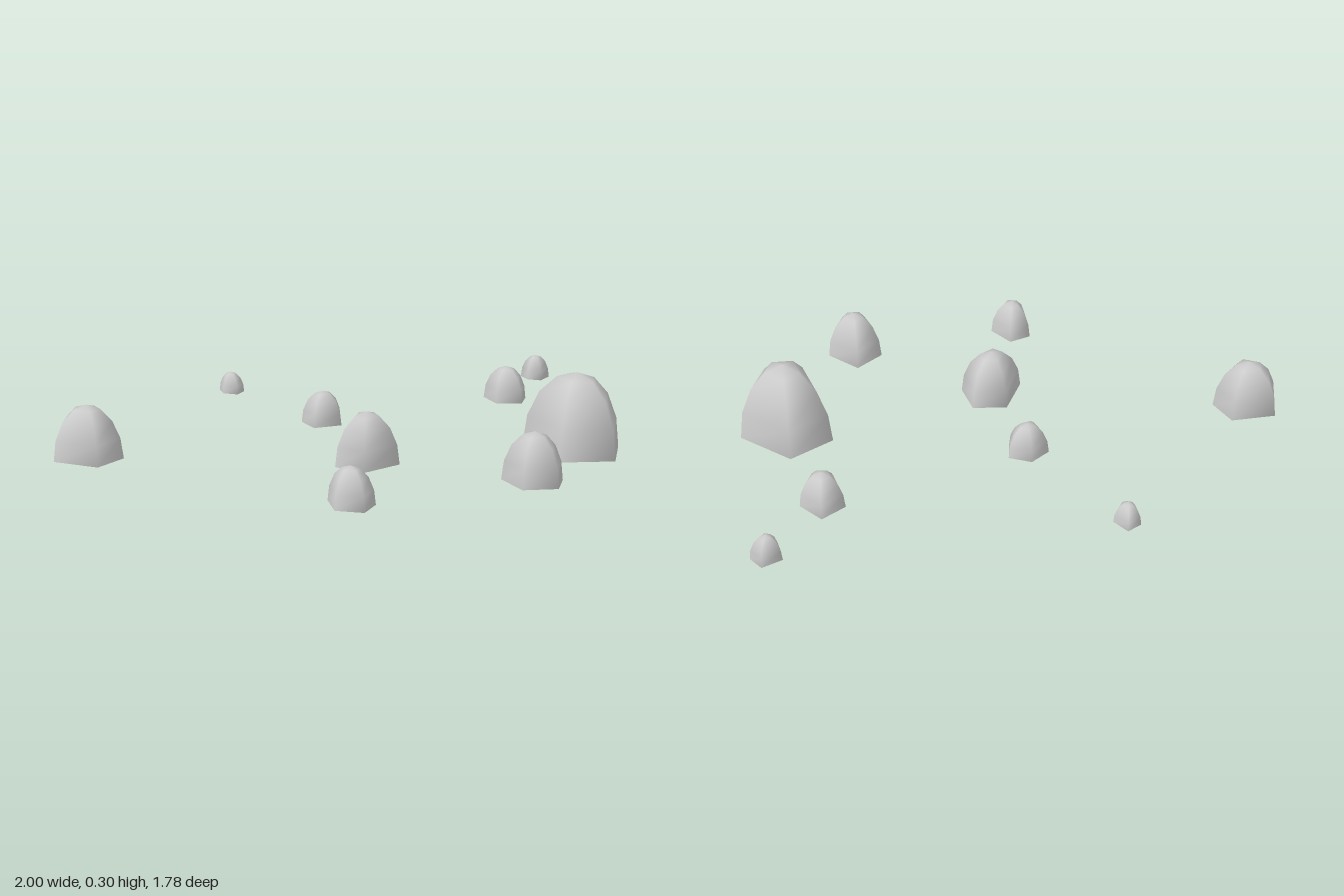
import * as THREE from 'three';

const RINGS = 4;
const SIDES = 5;

// Each mound: base height, top height, and the five ground corners (x, z)
const MOUNDS = [
  { base: 0.006, top: 0.303, corners: [[0.77, -0.2], [1, -0.1], [0.99, 0.1], [0.79, 0.16], [0.645, -0.055]] },
  { base: 0.045, top: 0.243, corners: [[-0.84, 0.34], [-0.755, 0.435], [-0.815, 0.56], [-0.985, 0.53], [-1, 0.4]] },
  { base: 0.06, top: 0.185, corners: [[-0.14, -0.11], [-0.05, -0.1], [-0.035, -0.02], [-0.13, 0.04], [-0.19, -0.035]] },
  { base: 0.04, top: 0.23, corners: [[0.03, 0.255], [0.16, 0.23], [0.23, 0.345], [0.12, 0.47], [0.01, 0.425]] },
  { base: 0.047, top: 0.185, corners: [[0.11, 0.725], [0.205, 0.795], [0.18, 0.885], [0.08, 0.885], [0.04, 0.78]] },
  { base: 0.053, top: 0.235, corners: [[0.67, 0.395], [0.81, 0.465], [0.8, 0.57], [0.68, 0.61], [0.6, 0.505]] },
  { base: 0.05, top: 0.185, corners: [[0.53, -0.59], [0.63, -0.53], [0.62, -0.44], [0.52, -0.42], [0.465, -0.505]] },
  { base: 0.05, top: 0.145, corners: [[0.655, -0.895], [0.71, -0.855], [0.68, -0.785], [0.625, -0.79], [0.595, -0.84]] },
  { base: 0.063, top: 0.145, corners: [[-0.55, -0.455], [-0.49, -0.41], [-0.505, -0.355], [-0.565, -0.36], [-0.59, -0.41]] },
];

// Hollow half-dome: the base outline shrinks along a quarter circle to the pole
function domeGeometry(corners, height) {
  const positions = [0, height, 0];
  const index = [];
  for (let i = 1; i <= RINGS; i++) {
    const a = (i / RINGS) * Math.PI / 2;
    for (const [x, z] of corners) {
      const px = x * Math.sin(a), pz = z * Math.sin(a);
      // slight lean of the whole dome
      positions.push(px, height * Math.cos(a) - 0.02 * px + 0.02 * pz, pz);
    }
  }
  const at = (ring, side) => 1 + (ring - 1) * SIDES + (side % SIDES);
  for (let j = 0; j < SIDES; j++) {
    index.push(0, at(1, j + 1), at(1, j));
    for (let i = 1; i < RINGS; i++) {
      index.push(at(i, j), at(i, j + 1), at(i + 1, j + 1));
      index.push(at(i, j), at(i + 1, j + 1), at(i + 1, j));
    }
  }
  const geometry = new THREE.BufferGeometry();
  geometry.setAttribute('position', new THREE.Float32BufferAttribute(positions, 3));
  geometry.setIndex(index);
  geometry.computeVertexNormals();
  return geometry;
}

export function createModel() {
  const group = new THREE.Group();
  group.name = 'moundCluster';
  const material = new THREE.MeshStandardMaterial({ color: 0xcccccc, side: THREE.DoubleSide });

  MOUNDS.forEach(({ base, top, corners }, n) => {
    const cx = corners.reduce((s, c) => s + c[0], 0) / SIDES;
    const cz = corners.reduce((s, c) => s + c[1], 0) / SIDES;
    const local = corners.map(([x, z]) => [x - cx, z - cz]);
    const mound = new THREE.Mesh(domeGeometry(local, top - base), material);
    mound.name = `mound${n + 1}`;
    mound.position.set(cx, base, cz);
    group.add(mound);
  });
  return group;
}
